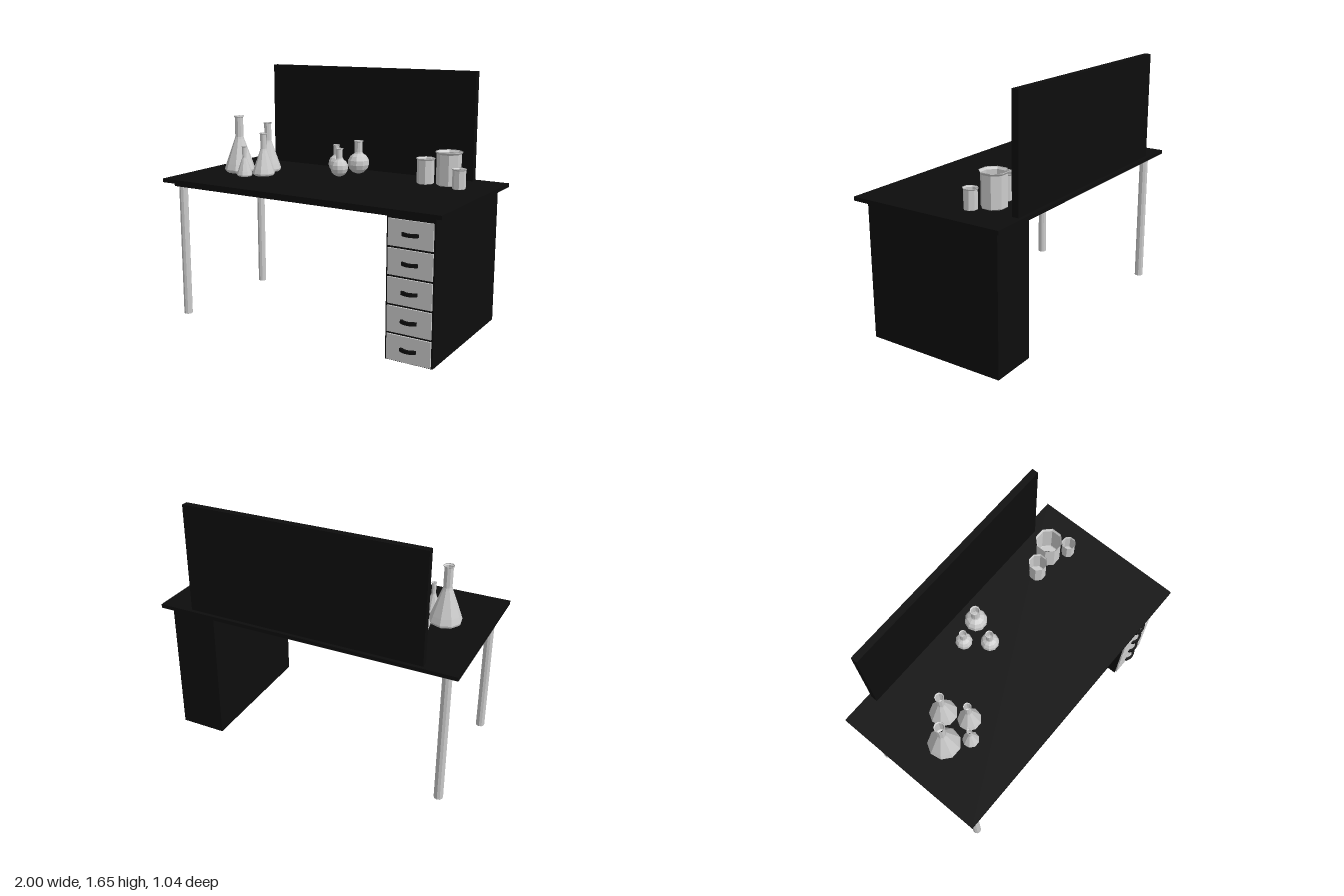
import * as THREE from 'three';

const grey = new THREE.MeshStandardMaterial({ color: 0xcccccc, flatShading: true });
const glass = new THREE.MeshStandardMaterial({ color: 0xcccccc, flatShading: true, side: THREE.DoubleSide });
const black = new THREE.MeshStandardMaterial({ color: 0x0d0d0d });

const TOP = 0.945; // height of the work surface

// Box given by its minimum and maximum corners
function box(name, [x0, y0, z0], [x1, y1, z1], material) {
  const mesh = new THREE.Mesh(new THREE.BoxGeometry(x1 - x0, y1 - y0, z1 - z0), material);
  mesh.position.set((x0 + x1) / 2, (y0 + y1) / 2, (z0 + z1) / 2);
  mesh.name = name;
  return mesh;
}

// Faceted vessel turned from a [radius, height] profile in units of the body radius
function vessel(name, profile, sides, x, z, radius, height) {
  const tall = profile[profile.length - 1][1];
  const points = profile.map(([r, y]) => new THREE.Vector2(r * radius, (y / tall) * height));
  const mesh = new THREE.Mesh(new THREE.LatheGeometry(points, sides, Math.PI / sides), glass);
  mesh.position.set(x, TOP, z);
  mesh.name = name;
  return mesh;
}

const conicalProfile = [[0.82, 0], [0.97, 0.1], [1, 0.22], [0.88, 0.6], [0.31, 2.2], [0.27, 2.35], [0.27, 3.6], [0.33, 3.64], [0.33, 3.7]];
const beakerProfile = [[0.4, 0.02], [0.85, 0], [0.9, 0.06], [0.9, 2.4], [1, 2.55], [1, 2.6]];

// Round flask: sphere rows followed by a straight neck with a lip
const roundProfile = [];
for (let i = 0; i <= 6; i++) {
  const a = 0.15 + (i / 6) * (Math.PI - 0.15 - 0.42);
  roundProfile.push([Math.sin(a), 1 - Math.cos(a)]);
}
roundProfile.push([0.36, 2.05], [0.36, 2.98], [0.44, 3.02], [0.44, 3.1]);

// Bowed drawer pull, extruded upwards
function handleGeometry() {
  const s = new THREE.Shape();
  s.moveTo(-0.051, 0);
  s.lineTo(-0.051, 0.012);
  s.quadraticCurveTo(0, 0.046, 0.051, 0.012);
  s.lineTo(0.051, 0);
  s.lineTo(0.037, 0);
  s.quadraticCurveTo(0, 0.028, -0.037, 0);
  const g = new THREE.ExtrudeGeometry(s, { depth: 0.02, bevelEnabled: false, curveSegments: 8 });
  g.translate(0, 0, -0.01);
  g.rotateX(Math.PI / 2);
  return g;
}

export function createModel() {
  const model = new THREE.Group();
  model.name = 'laboratoryDesk';

  // Desk top, apron and upright back panel
  model.add(
    box('deskTop', [-1, 0.92, -0.52], [1, TOP, 0.52], black),
    box('apron', [-0.95, 0.89, -0.473], [0.945, 0.92, 0.465], black),
    box('backPanel', [-0.785, TOP, -0.497], [0.78, 1.65, -0.453], black),
  );

  // Two legs on the open side
  for (const z of [0.427, -0.425]) {
    const leg = new THREE.Mesh(new THREE.CylinderGeometry(0.029, 0.029, 0.89, 10), grey);
    leg.position.set(-0.907, 0.445, z);
    leg.name = 'leg';
    model.add(leg);
  }

  // Cabinet with five drawers
  const cabinet = new THREE.Group();
  cabinet.name = 'drawerCabinet';
  cabinet.add(box('cabinetBody', [0.64, 0.028, -0.473], [0.945, 0.89, 0.463], black));
  const pull = handleGeometry();
  for (let i = 0; i < 5; i++) {
    const y = 0.112 + i * 0.172;
    cabinet.add(box('drawerFront', [0.652, y - 0.078, 0.45], [0.934, y + 0.08, 0.473], grey));
    const handle = new THREE.Mesh(pull, black);
    handle.position.set(0.794, y, 0.472);
    handle.name = 'drawerHandle';
    cabinet.add(handle);
  }
  model.add(cabinet);

  // Glassware: x, z, radius, height
  const glassware = new THREE.Group();
  glassware.name = 'glassware';
  const sets = [
    ['conicalFlask', conicalProfile, 9, [
      [-0.72, 0.055, 0.105, 0.385], [-0.577, -0.078, 0.09, 0.335],
      [-0.505, 0.073, 0.076, 0.285], [-0.597, 0.163, 0.053, 0.2]]],
    ['roundFlask', roundProfile, 10, [
      [-0.147, -0.28, 0.055, 0.19], [0.008, -0.312, 0.074, 0.226], [-0.046, -0.15, 0.06, 0.19]]],
    ['beaker', beakerProfile, 8, [
      [0.543, -0.24, 0.062, 0.165], [0.69, -0.27, 0.088, 0.215], [0.797, -0.185, 0.047, 0.127]]],
  ];
  for (const [name, profile, sides, list] of sets) {
    for (const place of list) glassware.add(vessel(name, profile, sides, ...place));
  }
  model.add(glassware);

  return model;
}
